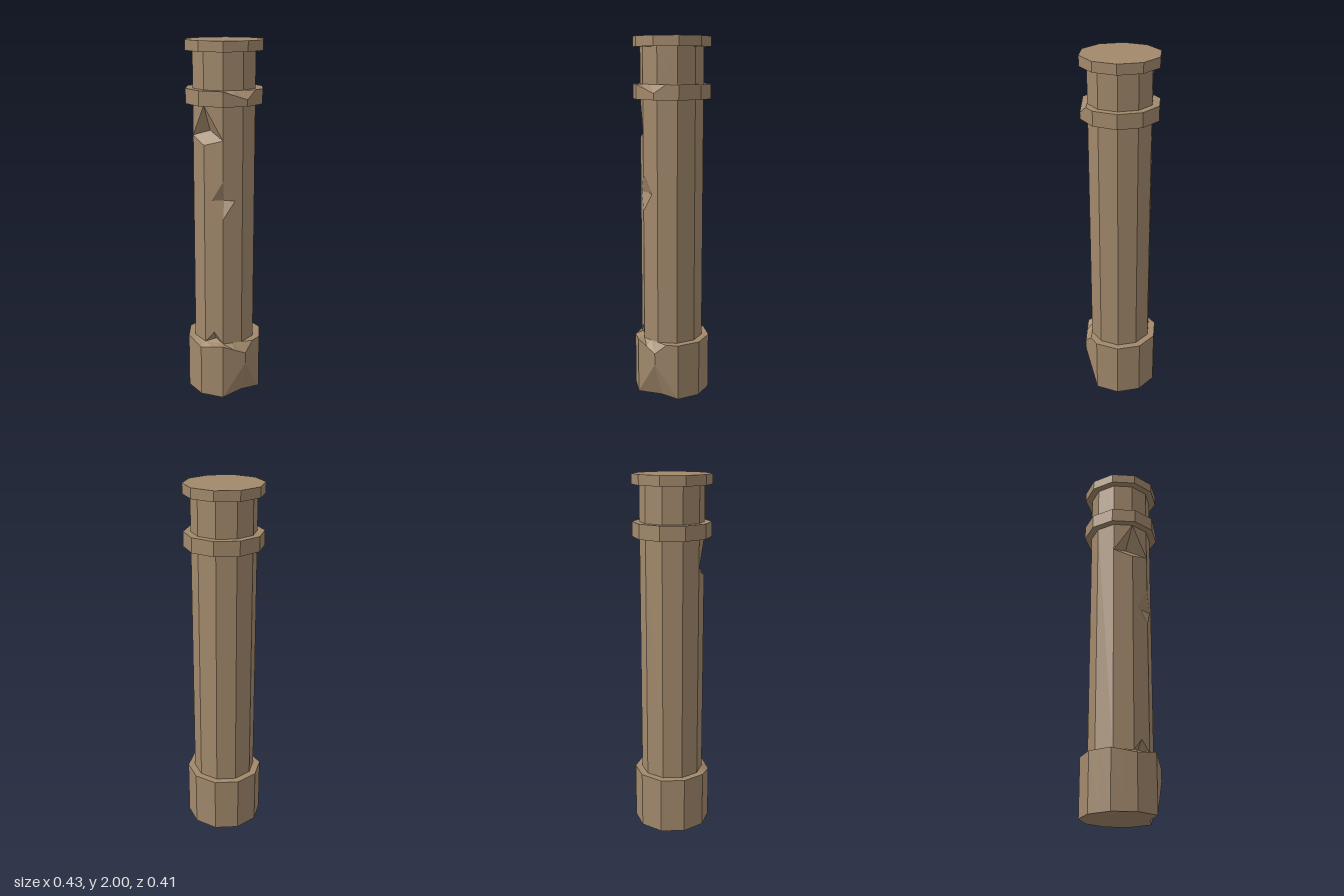
import * as THREE from 'three';

const SIDES = 10, WIDE = 0.215, SLIM = 0.175;

// Corner of the ten-sided column; k may run past the last side
const corner = (r, y, k) => {
  const a = (k * Math.PI * 2) / SIDES;
  return [r * Math.cos(a), y, r * Math.sin(a)];
};

// Ring of corners and edge midpoints; moves replaces points by index (halves are midpoints)
function ring(r, y, moves = {}) {
  const corners = Array.from({ length: SIDES }, (_, k) => moves[k] ?? corner(r, y, k));
  return corners.flatMap((p, k) => {
    const q = corners[(k + 1) % SIDES];
    return [p, moves[k + 0.5] ?? p.map((v, i) => (v + q[i]) / 2)];
  });
}

// Triangles between successive rings, from the bottom up
function skin(rings) {
  const tris = [];
  for (let j = 0; j + 1 < rings.length; j++) {
    const a = rings[j], b = rings[j + 1], n = a.length;
    for (let i = 0; i < n; i++) {
      const m = (i + 1) % n;
      tris.push([a[i], b[i], b[m]], [a[i], b[m], a[m]]);
    }
  }
  return tris;
}

// Depth of the front of the shaft at a given x
function frontZ(x) {
  for (let k = 0; k < 5; k++) {
    const [x0, , z0] = corner(SLIM, 0, k), [x1, , z1] = corner(SLIM, 0, k + 1);
    if (x <= x0 + 1e-6 && x >= x1 - 1e-6) return z0 + ((z1 - z0) * (x0 - x)) / (x0 - x1);
  }
  return 0;
}
const onFront = ([x, y]) => [x, y, frontZ(x)];

// Flat facet of the shaft from an outline in x and y
function facet(outline) {
  const flat = outline.map(([x, y]) => new THREE.Vector2(x, y));
  return THREE.ShapeUtils.triangulateShape(flat, []).map((t) => t.map((i) => onFront(outline[i])));
}

// Chipped hollow: fan from its rim to a sunken point
const hollow = (rim, deep) =>
  rim.map((p, i) => [onFront(p), onFront(rim[(i + 1) % rim.length]), deep]);

function part(name, tris, material) {
  const v = (p) => new THREE.Vector3(...p);
  const solid = tris.filter(([a, b, c]) => new THREE.Triangle(v(a), v(b), v(c)).getArea() > 1e-8);
  const geometry = new THREE.BufferGeometry();
  geometry.setAttribute('position', new THREE.Float32BufferAttribute(solid.flat(2), 3));
  geometry.computeVertexNormals();
  const mesh = new THREE.Mesh(geometry, material);
  mesh.name = name;
  return mesh;
}

export function createModel() {
  const group = new THREE.Group();
  group.name = 'column';
  const stone = new THREE.MeshStandardMaterial({ color: 0xa2896c });
  stone.name = 'sandstone';

  // Base with a broken lower corner and two worn top corners
  const base = skin([
    ring(0, 0),
    ring(WIDE, 0, { 1: [0.133, 0, 0.078] }),
    ring(WIDE, 0, { 1: corner(WIDE, 0.2, 1) }),
    ring(WIDE, 0.32, {
      1: corner(WIDE, 0.265, 1),
      3: corner(WIDE, 0.297, 3),
      0.5: [0.195, 0.32, 0.063],
    }),
    ring(SLIM, 0.32),
  ]);
  group.add(part('base', base, stone));

  // Shaft: plain facets at the sides and back
  const low = 0.32, high = 1.67;
  const shaft = [];
  for (let k = 4; k < SIDES + 1; k++) {
    const [a, b, c, d] = [corner(SLIM, low, k), corner(SLIM, high, k),
      corner(SLIM, high, k + 1), corner(SLIM, low, k + 1)];
    shaft.push([a, b, c], [a, c, d]);
  }

  // Three front facets, cut around the chips
  const e1 = corner(SLIM, 0, 1)[0], e2 = corner(SLIM, 0, 2)[0];
  const upperChip = [[-e2, high], [-e1, 1.5], [-e2, 1.46], [e2, 1.49]];
  const middleChip = [[e2, 1.27], [-0.012, 1.16], [e2, 1.06], [0.108, 1.16]];
  const lowerChip = [[0, 0.385], [-e2, low], [e2, low]];
  shaft.push(
    ...facet([[e2, low], [e1, low], [e1, high], [e2, high], [e2, 1.27], [0.108, 1.16], [e2, 1.06]]),
    ...facet([[-e2, low], [0, 0.385], [e2, low], [e2, 1.06], [-0.012, 1.16], [e2, 1.27], [e2, 1.49], [-e2, 1.46]]),
    ...facet([[e2, 1.49], [e2, high], [-e2, high]]),
    ...facet([[-e1, low], [-e2, low], [-e2, 1.46], [-e1, 1.5]]),
    ...facet([[-e1, 1.5], [-e2, high], [-e1, high]]),
  );
  group.add(part('shaft', shaft, stone));

  // Chips in the shaft
  group.add(part('upperChip', hollow(upperChip, [-0.045, 1.53, 0.097]), stone));
  group.add(part('middleChip', hollow(middleChip, [0.047, 1.16, 0.133]), stone));
  group.add(part('lowerChip', hollow(lowerChip, [0, 0.335, 0.135]), stone));

  // Collar with one worn corner
  const collar = skin([
    ring(SLIM, high),
    ring(WIDE, high),
    ring(WIDE, 1.75, { 1: corner(WIDE, 1.705, 1), 0.5: [0.195, 1.75, 0.063] }),
    ring(SLIM, 1.75),
  ]);
  group.add(part('collar', collar, stone));

  // Neck and cap
  group.add(part('neck', skin([ring(SLIM, 1.75), ring(SLIM, 1.945)]), stone));
  group.add(part('cap', skin([ring(SLIM, 1.945), ring(WIDE, 1.945), ring(WIDE, 2), ring(0, 2)]), stone));

  return group;
}
